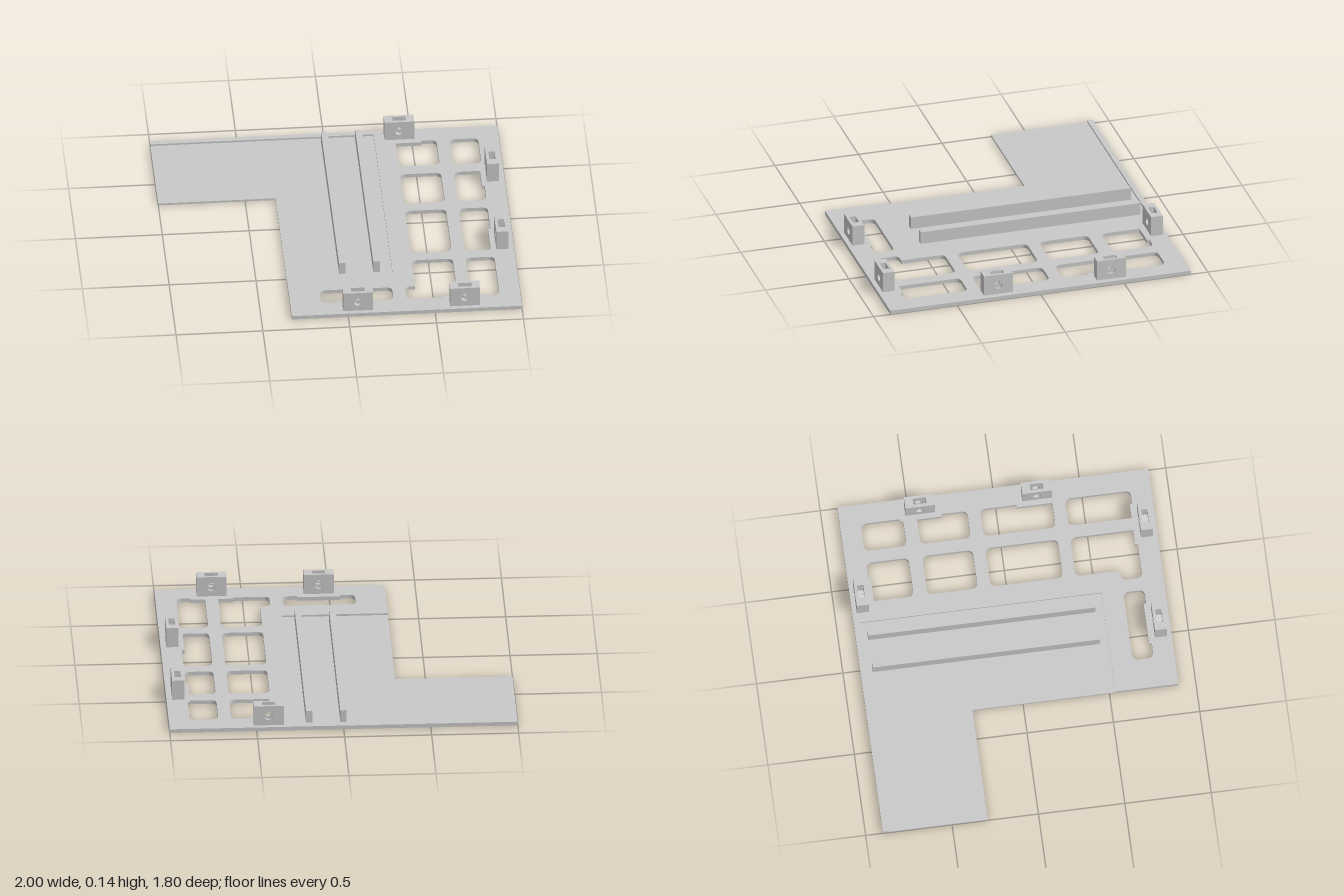
import * as THREE from 'three';

const FLOOR = 0.012, TOP = 0.023, BLOCK_TOP = 0.145;
const grey = new THREE.MeshStandardMaterial({ color: 0xc8c8c8 });
grey.name = 'grey plastic';

// Closed outline from [x, z, radius] corners
function trace(target, corners, defaultRadius = 0) {
  const n = corners.length;
  corners.forEach((c, i) => {
    const p = new THREE.Vector2(c[0], -c[1]);
    const toward = (q, r) => new THREE.Vector2(q[0], -q[1]).sub(p).setLength(r).add(p);
    const r = c[2] ?? defaultRadius;
    const a = r ? toward(corners[(i + n - 1) % n], r) : p;
    if (i === 0) target.moveTo(a.x, a.y);
    else target.lineTo(a.x, a.y);
    if (r) {
      const b = toward(corners[(i + 1) % n], r);
      target.quadraticCurveTo(p.x, p.y, b.x, b.y);
    }
  });
  target.closePath();
  return target;
}

const rect = (x0, x1, z0, z1) => [[x0, z0], [x1, z0], [x1, z1], [x0, z1]];

// Windows, some stepped around the pads beneath the blocks
const windows = [
  [[0.404, -0.767, 0], [0.552, -0.767, 0], [0.552, -0.782, 0], [0.64, -0.782], [0.64, -0.536], [0.404, -0.536]],
  rect(0.404, 0.64, -0.457, -0.165),
  rect(0.404, 0.64, -0.092, 0.327),
  [[0.404, 0.4], [0.64, 0.4], [0.64, 0.765, 0], [0.552, 0.765, 0], [0.552, 0.78, 0],
    [0.345, 0.78], [0.345, 0.658], [0.404, 0.658, 0]],
  [[0.714, -0.782], [0.88, -0.782], [0.88, -0.552, 0], [0.865, -0.552, 0], [0.865, -0.536, 0], [0.714, -0.536]],
  [[0.714, -0.457], [0.865, -0.457, 0], [0.865, -0.312, 0], [0.88, -0.312, 0], [0.88, -0.165], [0.714, -0.165]],
  [[0.714, -0.092], [0.88, -0.092], [0.88, 0.119, 0], [0.865, 0.119, 0], [0.865, 0.327, 0], [0.714, 0.327]],
  [[0.714, 0.4], [0.88, 0.4], [0.88, 0.78], [0.8, 0.78, 0], [0.8, 0.765, 0], [0.714, 0.765, 0]],
  [[-0.147, 0.658], [0.27, 0.658], [0.27, 0.78], [0.185, 0.78, 0], [0.185, 0.765, 0],
    [-0.06, 0.765, 0], [-0.06, 0.78, 0], [-0.147, 0.78]],
];

function mesh(name, geometry, parent) {
  const m = new THREE.Mesh(geometry, grey);
  m.name = name;
  parent.add(m);
  return m;
}

// Horizontal plate layer with all windows cut out; corners run counter-clockwise from above
function layer(name, corners, y0, y1, parent) {
  const shape = trace(new THREE.Shape(), corners);
  shape.holes = windows.map(w => trace(new THREE.Path(), w, 0.035));
  const g = new THREE.ExtrudeGeometry(shape, { depth: y1 - y0, bevelEnabled: false, curveSegments: 6 });
  mesh(name, g.rotateX(-Math.PI / 2).translate(0, y0, 0), parent);
}

// Screw block: teardrop bore through it and a nut pocket open at the top
function screwBlock(name, x, z, turn) {
  const block = new THREE.Group();
  block.name = name;
  const w = 0.086, boreY = 0.078, r = 0.023, depth = 0.07, slot = 0.036, half = 0.038;
  const slab = (part, shape, z0, z1) => mesh(part,
    new THREE.ExtrudeGeometry(shape, { depth: z1 - z0, bevelEnabled: false, curveSegments: 20 })
      .translate(0, 0, z0), block);
  const face = new THREE.Shape([[-w, TOP], [w, TOP], [w, BLOCK_TOP], [-w, BLOCK_TOP]]
    .map(p => new THREE.Vector2(...p)));
  const bore = new THREE.Path();
  bore.absarc(0, boreY, r, Math.PI * 0.75, Math.PI * 2.25, false);
  bore.lineTo(0, boreY + r * Math.SQRT2);
  bore.closePath();
  face.holes.push(bore);
  const pocket = new THREE.Shape([
    [-w, TOP], [w, TOP], [w, BLOCK_TOP], [half, BLOCK_TOP], [half, 0.056],
    [0, 0.034], [-half, 0.056], [-half, BLOCK_TOP], [-w, BLOCK_TOP],
  ].map(p => new THREE.Vector2(...p)));
  slab('blockBack', face, -depth / 2, -slot / 2);
  slab('nutPocket', pocket, -slot / 2, slot / 2);
  slab('blockFront', face, slot / 2, depth / 2);
  block.position.set(x, 0, z);
  block.rotation.y = turn;
  return block;
}

export function createModel() {
  const model = new THREE.Group();
  model.name = 'mountingPlate';

  // Base sheet, and the raised border that leaves a shallow recess
  layer('baseSheet', [[-1, -0.9], [-1, -0.293], [-0.325, -0.293], [-0.325, 0.9], [1, 0.9], [1, -0.9]],
    0, FLOOR, model);
  layer('raisedBorder', [[-1, -0.9], [-1, -0.868], [0.285, -0.868], [0.285, 0.534],
    [-0.325, 0.534], [-0.325, 0.9], [1, 0.9], [1, -0.9]], FLOOR, TOP, model);

  // Two parallel rails standing in the recess
  for (const [name, x] of [['leftmostRail', -0.002], ['rightmostRail', 0.195]]) {
    const h = 0.086 - FLOOR;
    mesh(name, new THREE.BoxGeometry(0.037, h, 1.315), model).position.set(x, FLOOR + h / 2, -0.172);
  }

  // Screw blocks around the edge
  model.add(
    screwBlock('frontBlockA', 0.059, 0.838, 0),
    screwBlock('frontBlockB', 0.675, 0.838, 0),
    screwBlock('backBlock', 0.429, -0.839, 0),
    screwBlock('sideBlockA', 0.932, -0.434, Math.PI / 2),
    screwBlock('sideBlockB', 0.932, 0.243, Math.PI / 2),
  );
  return model;
}
